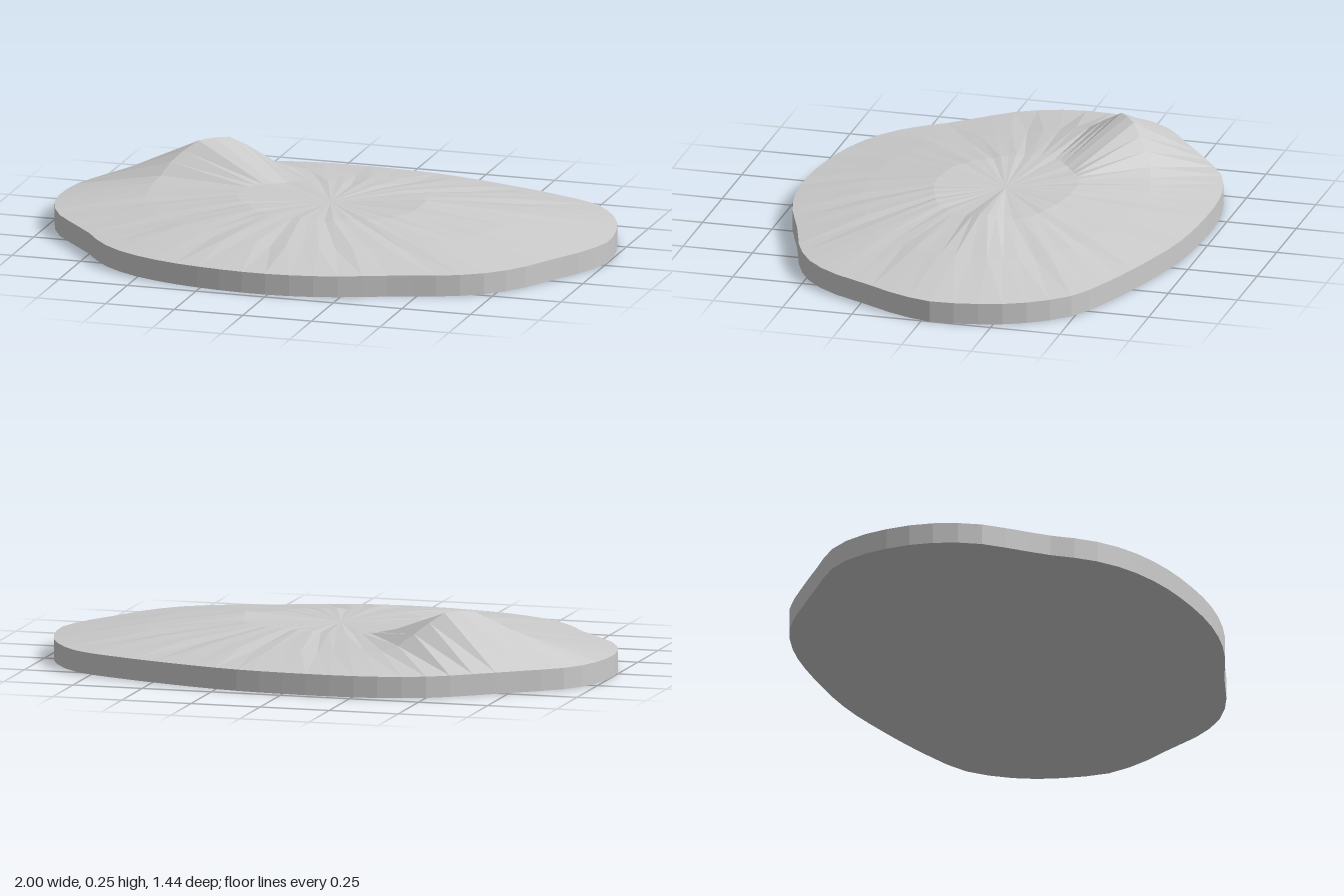
import * as THREE from 'three';

const SEGMENTS = 64;
const RIM = 0.075;
const HUB = { x: -0.005, z: -0.02 };

// Coastline as x, z pairs, anticlockwise seen from above
const COAST = [
  [1, -0.03], [0.99, -0.15], [0.95, -0.3], [0.88, -0.42], [0.8, -0.5], [0.62, -0.58],
  [0.42, -0.645], [0.2, -0.7], [0, -0.72], [-0.25, -0.72], [-0.4, -0.695], [-0.52, -0.65],
  [-0.62, -0.58], [-0.77, -0.465], [-0.92, -0.34], [-0.98, -0.22], [-1, -0.08], [-0.99, 0.04],
  [-0.93, 0.19], [-0.82, 0.32], [-0.75, 0.4], [-0.67, 0.51], [-0.56, 0.6], [-0.4, 0.67],
  [-0.2, 0.71], [0, 0.72], [0.2, 0.69], [0.42, 0.61], [0.6, 0.55], [0.72, 0.48],
  [0.81, 0.38], [0.89, 0.23], [0.96, 0.1],
];

// Bell-shaped bump around a direction, in degrees
function bump(angle, centre, width) {
  const d = ((angle - centre + 540) % 360) - 180;
  return Math.exp(-(d * d) / (2 * width * width));
}

// Small repeatable ripple that gives the slopes their radial facets
const ripple = (i, k) => Math.sin(i * 2.4 + k) * Math.sin(i * 0.9 + k * 3);

function facetedMesh(name, triangles, material) {
  const geometry = new THREE.BufferGeometry().setFromPoints(triangles);
  geometry.computeVertexNormals();
  const mesh = new THREE.Mesh(geometry, material);
  mesh.name = name;
  return mesh;
}

export function createModel() {
  const group = new THREE.Group();
  group.name = 'island';
  const material = new THREE.MeshStandardMaterial({ color: 0xcccccc, flatShading: true });

  const coast = new THREE.CatmullRomCurve3(
    COAST.map(([x, z]) => new THREE.Vector3(x, RIM, z)), true
  ).getSpacedPoints(SEGMENTS).slice(0, SEGMENTS);

  // Ring of points: the coastline shrunk towards the hub, with its own heights
  const ring = (scale, height) => coast.map((p, i) => {
    const dx = p.x - HUB.x, dz = p.z - HUB.z;
    const angle = THREE.MathUtils.radToDeg(Math.atan2(-dz, dx));
    return new THREE.Vector3(HUB.x + dx * scale, height(angle, i), HUB.z + dz * scale);
  });

  const plateau = ring(0.337, (a, i) => 0.143 + 0.003 * ripple(i, 1) + 0.02 * bump(a, 3, 7));
  const slope = ring(0.67, (a, i) => 0.112 + 0.005 * ripple(i, 2)
    + 0.143 * bump(a, 149.5, 12.5) + 0.012 * bump(a, 0, 12));
  const base = coast.map((p) => new THREE.Vector3(p.x, 0, p.z));

  // Triangles joining an inner (upper) ring to an outer (lower) ring
  const band = (inner, outer) => inner.flatMap((p, i) => {
    const j = (i + 1) % SEGMENTS;
    return [p, outer[i], outer[j], p, outer[j], inner[j]];
  });
  const fan = (centre, points, flip) => points.flatMap((p, i) => {
    const q = points[(i + 1) % SEGMENTS];
    return flip ? [centre, q, p] : [centre, p, q];
  });

  // Land surface with the hill, its vertical edge, and the flat underside
  group.add(
    facetedMesh('plateau', fan(new THREE.Vector3(HUB.x, 0.14, HUB.z), plateau, false), material),
    facetedMesh('hillSlopes', [...band(plateau, slope), ...band(slope, coast)], material),
    facetedMesh('edge', band(coast, base), material),
    facetedMesh('underside', fan(new THREE.Vector3(HUB.x, 0, HUB.z), base, true), material),
  );
  return group;
}
